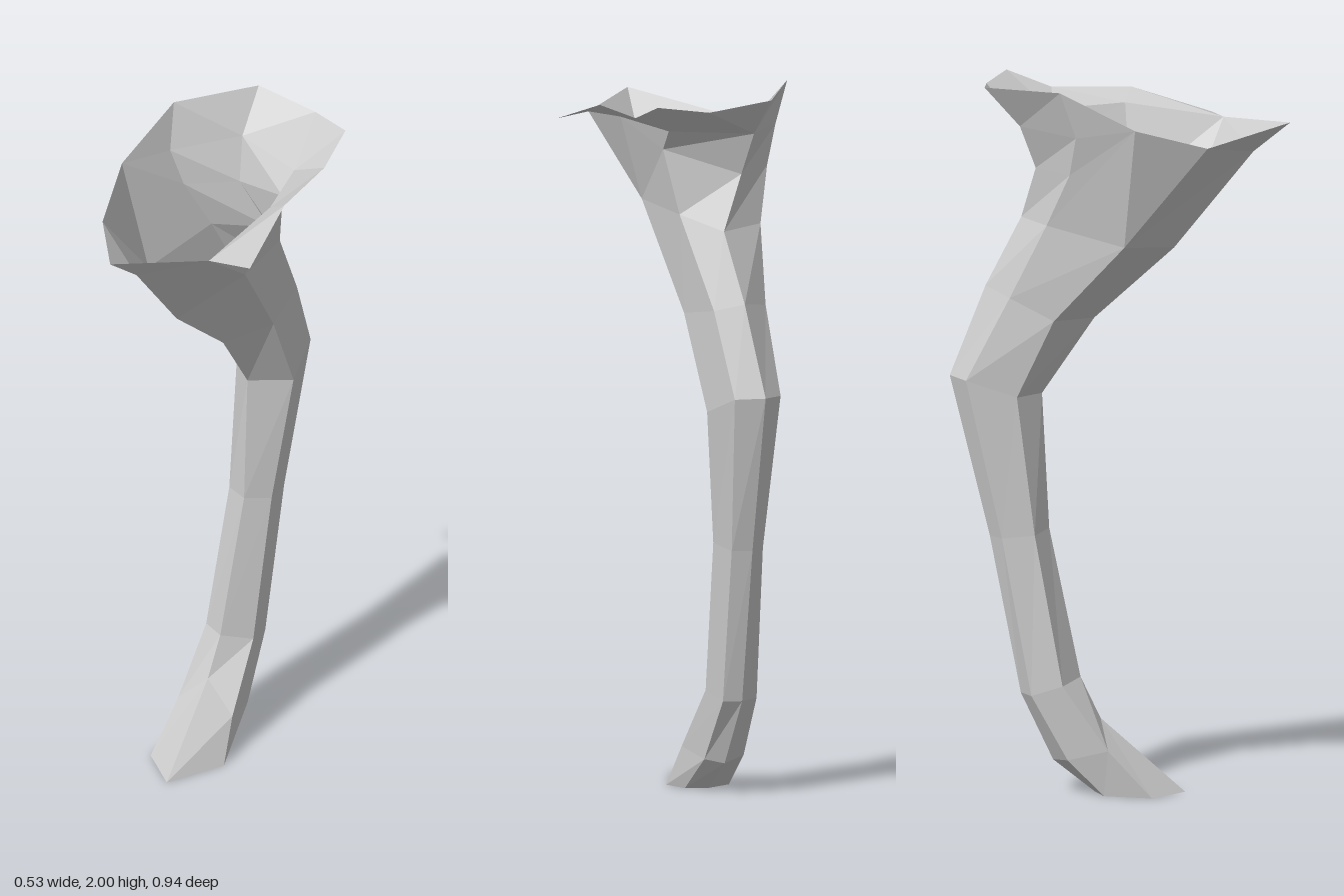
import * as THREE from 'three';

const material = new THREE.MeshStandardMaterial({ color: 0xcccccc, flatShading: true, side: THREE.DoubleSide });

// Joins rings of points (bottom to top) with triangles; collapsed ones are skipped.
function loft(name, rings, closeBottom) {
  const pos = [];
  const same = (p, q) => p.every((v, i) => v === q[i]);
  const tri = (a, b, c) => {
    if (!same(a, b) && !same(b, c) && !same(a, c)) pos.push(...a, ...b, ...c);
  };
  const n = rings[0].length;
  for (let i = 0; i < rings.length - 1; i++) {
    for (let j = 0; j < n; j++) {
      const k = (j + 1) % n;
      const [a, b, c, d] = [rings[i][j], rings[i][k], rings[i + 1][k], rings[i + 1][j]];
      tri(a, b, c);
      tri(a, c, d);
    }
  }
  if (closeBottom) for (let j = 1; j < n - 1; j++) tri(rings[0][0], rings[0][j + 1], rings[0][j]);
  const geometry = new THREE.BufferGeometry();
  geometry.setAttribute('position', new THREE.Float32BufferAttribute(pos, 3));
  geometry.computeVertexNormals();
  const mesh = new THREE.Mesh(geometry, material);
  mesh.name = name;
  return mesh;
}

export function createModel() {
  const group = new THREE.Group();
  group.name = 'bentFlaredStalk';

  // Each ring: front, +x side, back +x, back, back -x, -x side
  const foot = [
    [[-0.045, 0, 0.18], [0.055, 0, 0.03], [0.035, 0, -0.04], [-0.02, 0, -0.07], [-0.1, 0, -0.05], [-0.148, 0, 0.08]],
    [[-0.04, 0.21, -0.055], [0.045, 0.12, -0.04], [0.035, 0.1, -0.15], [-0.01, 0.09, -0.185], [-0.09, 0.1, -0.15], [-0.125, 0.13, -0.04]],
    [[-0.03, 0.325, -0.11], [0.042, 0.3, -0.17], [0.035, 0.28, -0.255], [-0.015, 0.28, -0.275], [-0.075, 0.28, -0.25], [-0.103, 0.31, -0.165]],
  ];
  const knee = [
    [[0, 0.74, -0.195], [0.06, 0.73, -0.245], [0.052, 0.72, -0.335], [0, 0.72, -0.36], [-0.05, 0.72, -0.33], [-0.07, 0.73, -0.24]],
    [[0, 1.12, -0.215], [0.105, 1.11, -0.29], [0.09, 1.165, -0.42], [0.02, 1.17, -0.47], [-0.05, 1.165, -0.43], [-0.073, 1.12, -0.29]],
    [[0, 1.33, -0.07], [0.108, 1.37, -0.165], [0.1, 1.4, -0.32], [0.03, 1.42, -0.37], [-0.07, 1.4, -0.31], [-0.11, 1.34, -0.19]],
  ];
  const throat = [[-0.03, 1.53, 0.15], [0.127, 1.66, 0.04], [0.125, 1.65, -0.17], [0.04, 1.61, -0.27], [-0.11, 1.61, -0.21], [-0.197, 1.56, 0]];

  group.add(loft('stalk', [...foot, ...knee, throat], true));

  // Rim of the open horn, from the front tip round by +x
  const rim = [
    [-0.07, 1.885, 0.47], [0.15, 1.865, 0.3], [0.265, 1.86, 0.275], [0.255, 1.935, 0.05],
    [0.265, 1.935, -0.17], [0.265, 1.985, -0.295], [0.137, 1.97, -0.36], [-0.05, 1.99, -0.378],
    [-0.212, 2, -0.18], [-0.267, 1.9, 0.025], [-0.22, 1.84, 0.23],
  ];
  // Inner edge of the rim, where the back lip folds outward
  const front = [-0.04, 1.8, 0.37], side = [0.2, 1.9, 0.03];
  const backSide = [0.165, 1.89, -0.18], back = [-0.05, 1.88, -0.28], far = [-0.2, 1.87, -0.135];
  const fold = [front, rim[1], rim[1], side, backSide, backSide, back, back, far, rim[9], rim[10]];
  // Neck just below the lip
  const neckSide = [0.155, 1.83, -0.13], neckBack = [-0.035, 1.76, -0.235], neckFar = [-0.165, 1.76, -0.15];
  const neck = [front, rim[1], rim[1], side, neckSide, neckSide, neckBack, neckBack, neckFar, rim[9], rim[10]];
  // The throat's six points spread over the rim's eleven
  const base = [0, 1, 1, 1, 2, 2, 3, 3, 4, 5, 5].map((i) => throat[i]);

  group.add(loft('flaredHorn', [base, neck, fold, rim], false));
  return group;
}
